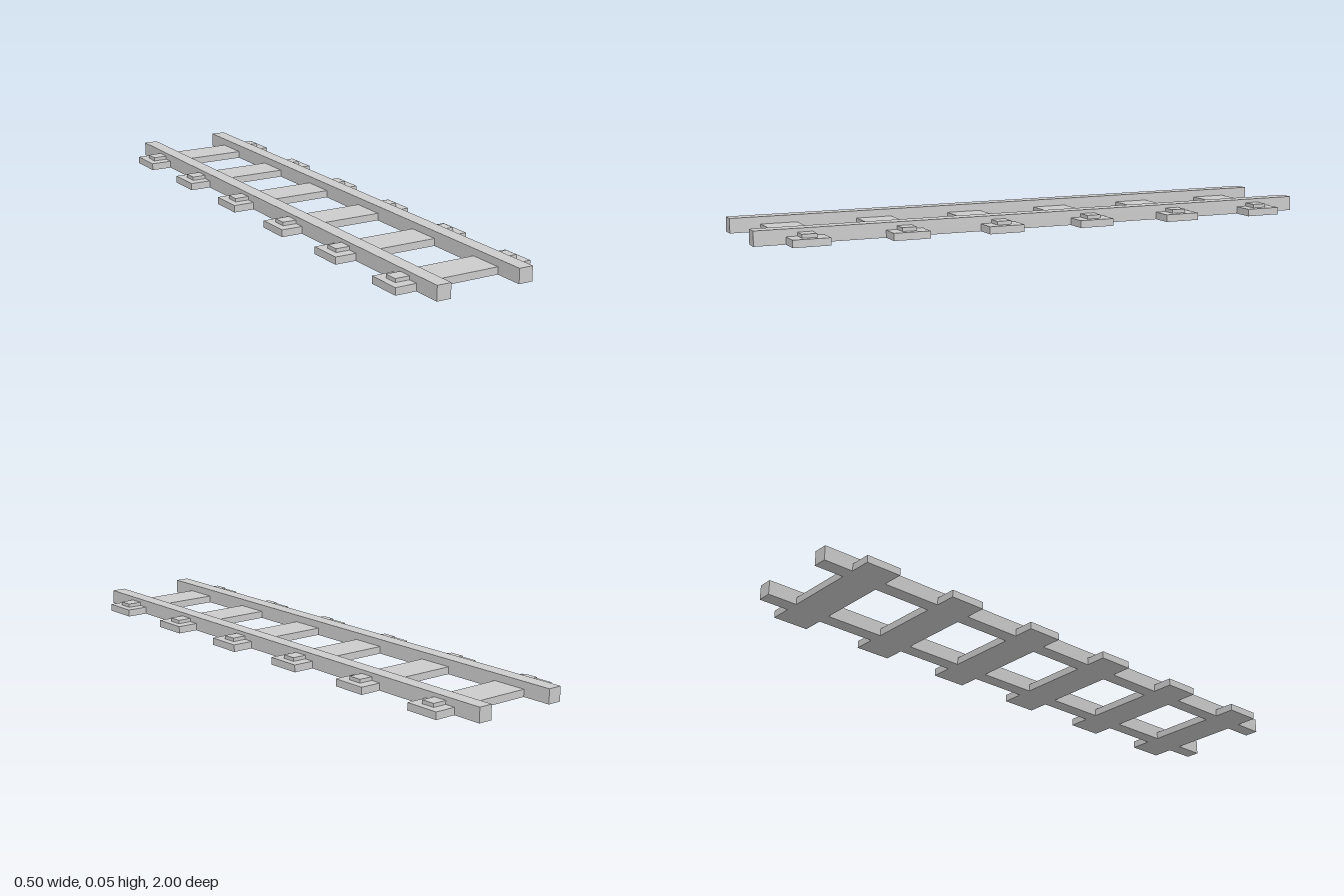
import * as THREE from 'three';

const material = new THREE.MeshStandardMaterial({ color: 0xcccccc, flatShading: true });

// Box given by its size and the position of its base centre
function box(name, [w, h, d], [x, y, z]) {
  const geometry = new THREE.BoxGeometry(w, h, d).translate(0, h / 2, 0);
  const mesh = new THREE.Mesh(geometry, material);
  mesh.name = name;
  mesh.position.set(x, y, z);
  return mesh;
}

export function createModel() {
  const track = new THREE.Group();
  track.name = 'railwayTrack';

  const sleeperCount = 6;
  const spacing = 2 / sleeperCount;
  const sleeperHeight = 0.025;
  const sides = [['left', 1], ['right', -1]];

  // Rails running the full length
  for (const [side, s] of sides) {
    track.add(box(`${side}Rail`, [0.05, 0.05, 2], [s * 0.15, 0, 0]));
  }

  // Evenly spaced sleepers, each with a fastening outside either rail
  for (let i = 0; i < sleeperCount; i++) {
    const tie = new THREE.Group();
    tie.name = `sleeperAssembly${i + 1}`;
    tie.position.z = -1 + spacing * (i + 0.5);
    tie.add(box('sleeper', [0.5, sleeperHeight, 0.125], [0, 0, 0]));
    for (const [side, s] of sides) {
      tie.add(box(`${side}RailClip`, [0.05, 0.0125, 0.05], [s * 0.2, sleeperHeight, 0]));
    }
    track.add(tie);
  }
  return track;
}
